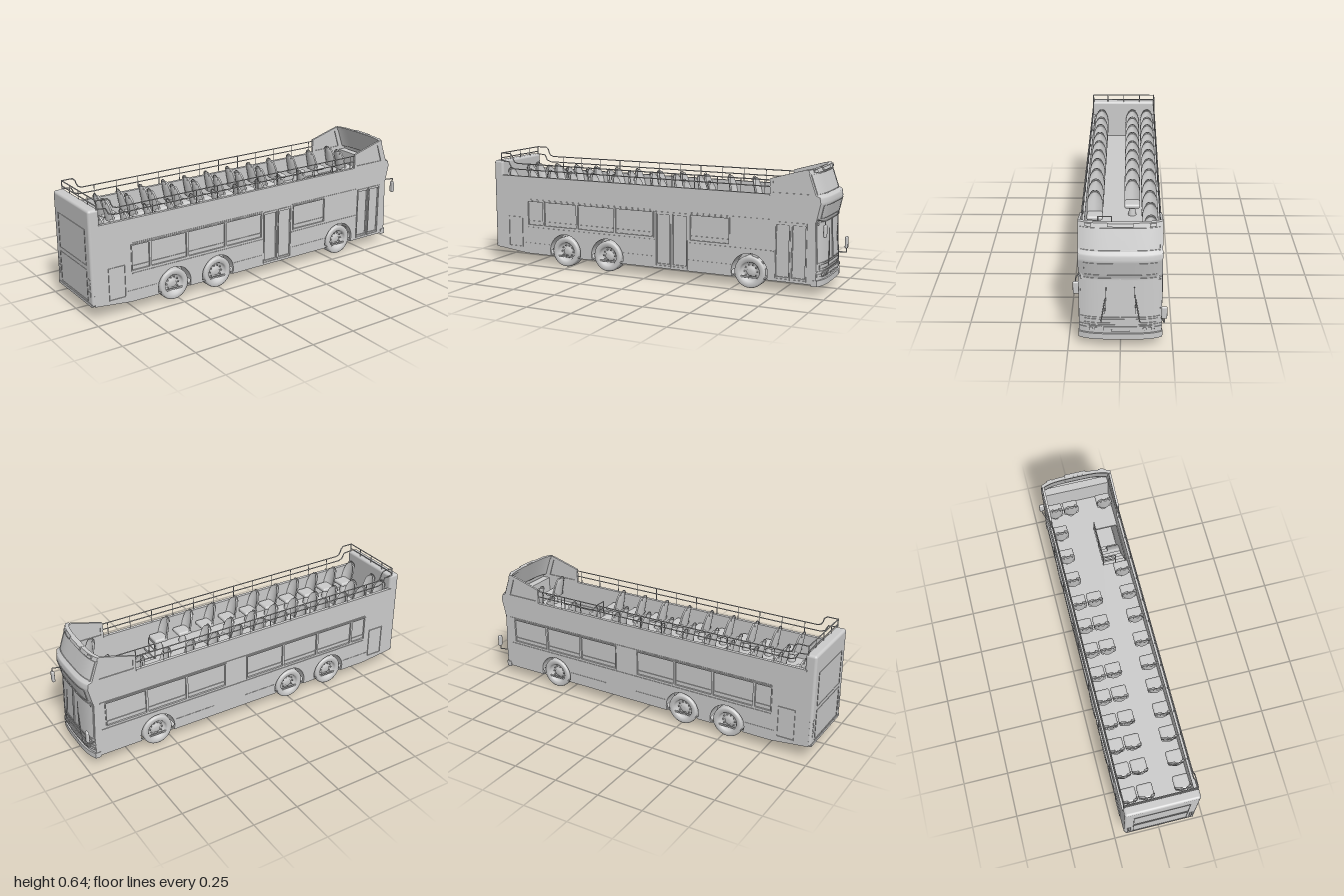
import * as THREE from 'three';
import { RoundedBoxGeometry } from 'three/addons/geometries/RoundedBoxGeometry.js';

const mat = new THREE.MeshStandardMaterial({ color: 0xcccccc, side: THREE.DoubleSide });
const HALF = 0.197, DECK = 0.36, SILL = 0.5;
const WHEELS = [-0.525, -0.255, 0.585], AXLE = 0.085;

// Nose profile: [y, x]
const NOSE = [[0.05, 0.965], [0.16, 0.967], [0.37, 0.957], [0.385, 0.963], [0.47, 0.982],
  [0.5, 0.977], [0.507, 0.957], [0.635, 0.912]];
function noseX(y, z = 0) {
  let i = 0;
  while (i < NOSE.length - 2 && y > NOSE[i + 1][0]) i++;
  const [y0, x0] = NOSE[i], [y1, x1] = NOSE[i + 1];
  return x0 + (x1 - x0) * (y - y0) / (y1 - y0) - 0.026 * Math.pow(Math.abs(z) / HALF, 4);
}

export function createModel() {
  const bus = new THREE.Group();
  bus.name = 'openTopBus';

  const add = (name, geo, x = 0, y = 0, z = 0, parent = bus) => {
    const m = new THREE.Mesh(geo, mat);
    m.name = name;
    m.position.set(x, y, z);
    parent.add(m);
    return m;
  };
  const box = (name, x0, x1, y0, y1, z0, z1, parent) => add(name,
    new THREE.BoxGeometry(x1 - x0, y1 - y0, z1 - z0), (x0 + x1) / 2, (y0 + y1) / 2, (z0 + z1) / 2, parent);
  const rod = (name, a, b, r = 0.003) => {
    const p = new THREE.Vector3(...a), q = new THREE.Vector3(...b), d = q.clone().sub(p);
    const m = add(name, new THREE.CylinderGeometry(r, r, d.length() + r, 8));
    m.position.copy(p).add(q).multiplyScalar(0.5);
    m.quaternion.setFromUnitVectors(new THREE.Vector3(0, 1, 0), d.normalize());
  };
  const rods = (name, pts, r) => pts.slice(1).forEach((p, i) => rod(name, pts[i], p, r));
  const poly = pts => new THREE.Shape(pts.map(p => new THREE.Vector2(...p)));
  const rect = (x0, x1, y0, y1) => poly([[x0, y0], [x1, y0], [x1, y1], [x0, y1]]);
  const extrude = (shape, depth) => new THREE.ExtrudeGeometry(shape, { depth, bevelEnabled: false, curveSegments: 20 });
  // Raised rectangular outline on a side wall (s = +1 or -1)
  const sideFrame = (name, s, x0, x1, y0, y1, t = 0.006) => {
    const f = rect(x0, x1, y0, y1);
    f.holes.push(rect(x0 + t, x1 - t, y0 + t, y1 - t));
    add(name, extrude(f, 0.006), 0, 0, s > 0 ? HALF - 0.002 : -HALF - 0.004);
  };
  // Horizontal plate with rectangular holes [x0, x1, z0, z1]
  const plate = (name, x0, x1, top, thick, holes) => {
    const s = rect(x0, x1, -HALF + 0.005, HALF - 0.005);
    holes.forEach(h => s.holes.push(rect(...h)));
    add(name, extrude(s, thick).rotateX(Math.PI / 2), 0, top);
  };

  // Side walls with wheel arches, window openings and recessed panes
  const windows = {
    1: [[-0.77, -0.67], [-0.66, -0.45], [-0.44, -0.21], [-0.2, 0.03], [0.25, 0.47]],
    '-1': [[-0.77, -0.68], [-0.67, -0.44], [-0.43, -0.21], [-0.2, 0.03], [0.17, 0.4], [0.41, 0.635], [0.645, 0.87]],
  };
  const doors = [[0.045, 0.138], [0.142, 0.235], [0.72, 0.803], [0.807, 0.89]];
  for (const s of [1, -1]) {
    const w = new THREE.Shape();
    w.moveTo(-0.985, 0.078);
    w.lineTo(-0.78, 0.055);
    for (const x of WHEELS) {
      w.lineTo(x - 0.0954, 0.055);
      w.absarc(x, AXLE, 0.1, Math.PI + 0.305, -0.305, true);
    }
    NOSE.forEach(([y, x]) => w.lineTo(x - 0.026, Math.max(y, 0.055)));
    [[0.85, 0.628], [0.69, 0.582], [0.69, SILL], [-0.94, SILL], [-0.985, SILL]].forEach(p => w.lineTo(...p));
    windows[s].forEach(([a, b]) => w.holes.push(rect(a, b, 0.225, 0.36)));
    const quarter = [[0.705, 0.512], [0.893, 0.512], [0.86, 0.612], [0.705, 0.57]];
    w.holes.push(poly(quarter));
    if (s > 0) doors.forEach(([a, b]) => w.holes.push(rect(a + 0.008, b - 0.008, 0.08, 0.35)));
    add('sideWall', extrude(w, 0.012), 0, 0, s > 0 ? HALF - 0.012 : -HALF);
    box('windowPanes', -0.78, 0.9, 0.2, 0.365, s * 0.188 - 0.002, s * 0.188 + 0.002);
    add('quarterPane', extrude(poly(quarter), 0.003), 0, 0, s * 0.191 - 0.0015);
    if (s > 0) [[0.045, 0.235], [0.72, 0.89]].forEach(([a, b]) => box('doorPanes', a, b, 0.07, 0.36, 0.186, 0.19));

    // Window, door and hatch outlines and the trim lines
    windows[s].forEach(([a, b]) => {
      sideFrame('windowFrame', s, a - 0.005, b + 0.005, 0.22, 0.365);
      box('windowSlideBar', a, b, 0.243, 0.248, s * 0.191 - 0.003, s * 0.191 + 0.003);
    });
    if (s > 0) doors.forEach(([a, b]) => sideFrame('doorLeaf', s, a, b, 0.065, 0.365));
    sideFrame('engineHatch', s, -0.905, -0.81, 0.09, 0.265, 0.004);
    const runs = s > 0 ? [[-0.77, 0.04], [0.24, 0.715]] : [[-0.77, 0.9]];
    runs.forEach(([a, b]) => {
      box('windowTopTrim', a, b, 0.368, 0.373, s * HALF - 0.003, s * HALF + 0.003);
      box('windowBottomTrim', a, b, 0.207, 0.211, s * HALF - 0.003, s * HALF + 0.003);
    });
    [[-0.8, -0.63], [-0.15, 0.04], [0.24, 0.48]].forEach(([a, b]) =>
      box('skirtTrim', a, b, 0.115, 0.118, s * HALF - 0.002, s * HALF + 0.002));
    box('wallCap', -0.95, 0.69, SILL - 0.006, SILL + 0.002, s * 0.19 - 0.009, s * 0.19 + 0.009);
  }

  // Underside, sloping tail and upper deck
  const wells = [];
  WHEELS.forEach(x => [[0.115, 0.186], [-0.186, -0.115]].forEach(([a, b]) => wells.push([x - 0.0954, x + 0.0954, a, b])));
  plate('underside', -0.78, 0.935, 0.063, 0.008, wells);
  add('tailUnderside', extrude(poly([[-0.985, 0.078], [-0.78, 0.055], [-0.78, 0.063], [-0.985, 0.086]]), 0.384), 0, 0, -0.192);
  plate('upperDeck', -0.95, 0.93, DECK, 0.012, [[0.46, 0.69, 0.05, 0.18]]);

  // Stairs and stair rail
  for (let i = 0; i < 7; i++) {
    const x = 0.46 + i * 0.033, y = DECK - 0.036 * (i + 1);
    box('stairStep', x, x + 0.033, y - 0.036, y, 0.05, 0.18);
  }
  [0.41, 0.45].forEach(y => rods('stairRail', [[0.69, y, 0.05], [0.46, y, 0.05], [0.46, y, 0.12]]));
  [[0.69, 0.05], [0.575, 0.05], [0.46, 0.05], [0.46, 0.12]].forEach(([x, z]) => rod('stairPost', [x, DECK, z], [x, 0.45, z]));

  // Nose: boxes bent to follow the front profile
  const nose = (name, z0, z1, y0, y1, off = 0.003, t = 0.008) => {
    const g = new THREE.BoxGeometry(t, y1 - y0, z1 - z0, 1, Math.ceil((y1 - y0) / 0.008), 16);
    g.translate(0, (y0 + y1) / 2, (z0 + z1) / 2);
    const p = g.attributes.position;
    for (let i = 0; i < p.count; i++) p.setX(i, p.getX(i) + noseX(p.getY(i), p.getZ(i)) + off - t / 2);
    g.computeVertexNormals();
    add(name, g);
  };
  const noseFrame = (name, w, y0, y1, t = 0.004) => {
    nose(name, -w, w, y0, y0 + t);
    nose(name, -w, w, y1 - t, y1);
    [1, -1].forEach(s => nose(name, s * w - t / 2, s * w + t / 2, y0, y1));
  };
  nose('frontSkin', -HALF, HALF, 0.05, 0.635, 0, 0.012);
  noseFrame('upperWindscreenFrame', 0.185, 0.51, 0.612);
  noseFrame('destinationPanel', 0.17, 0.39, 0.46, 0.003);
  noseFrame('windscreenFrame', 0.19, 0.163, 0.372);
  noseFrame('grilleStrip', 0.174, 0.133, 0.156, 0.003);
  nose('windscreenPillar', -0.004, 0.004, 0.165, 0.37, 0.005);
  nose('noseTrim', -HALF, HALF, 0.12, 0.125);
  nose('bumper', -0.2, 0.2, 0.048, 0.079, 0.009, 0.03);
  nose('grille', -0.08, 0.08, 0.095, 0.115, 0.005);
  nose('grilleLip', -0.045, 0.045, 0.093, 0.1, 0.008);
  nose('topLamp', -0.06, 0.06, 0.621, 0.636, 0.012, 0.02);
  nose('topRim', -0.197, 0.197, 0.616, 0.635, 0.004, 0.02);
  for (const s of [1, -1]) {
    nose('markerLamp', s * 0.15 - 0.015, s * 0.15 + 0.015, 0.62, 0.633, 0.01, 0.015);
    nose('headlampPanel', s * 0.12 - 0.03, s * 0.12 + 0.03, 0.09, 0.118, 0.004);
    nose('indicator', s * 0.177 - 0.016, s * 0.177 + 0.016, 0.097, 0.11, 0.004);
    [0.115, 0.14].forEach(z => add('headlamp', new THREE.CylinderGeometry(0.009, 0.009, 0.008, 16).rotateZ(Math.PI / 2),
      noseX(0.104, z) + 0.004, 0.104, s * z));
    const on = (y, z) => [noseX(y, z) + 0.009, y, s * z];
    rod('wiperArm', on(0.145, 0.092), on(0.265, 0.072), 0.0025);
    rod('wiperBlade', on(0.19, 0.073), on(0.33, 0.066), 0.0015);
  }
  box('dashboard', 0.9, 0.945, DECK, 0.49, -0.185, 0.185);

  // Mirrors: high on the left, low on the right
  [[1, 0.338, 0.388], [-1, 0.205, 0.152]].forEach(([s, y, arm]) => {
    add('mirror', new RoundedBoxGeometry(0.016, 0.064, 0.028, 3, 0.007), 0.985, y, s * 0.206);
    rods('mirrorArm', [[0.935, arm, s * 0.192], [0.985, arm, s * 0.206], [0.985, y, s * 0.206]]);
  });

  // Rear wall with hatch outlines and lamps
  add('rearWall', new RoundedBoxGeometry(0.06, 0.507, 0.394, 4, 0.014), -0.968, 0.3315, 0);
  [[0.1, 0.27], [0.29, 0.48]].forEach(([y0, y1]) => {
    const f = rect(-0.15, 0.15, y0, y1);
    f.holes.push(rect(-0.147, 0.147, y0 + 0.003, y1 - 0.003));
    add('rearHatch', extrude(f, 0.004).rotateY(-Math.PI / 2), -0.996, 0, 0);
  });
  for (const s of [1, -1]) for (let i = 0; i < 3; i++)
    box('tailLamp', -1, -0.99, 0.13 + i * 0.035, 0.155 + i * 0.035, s * 0.172 - 0.01, s * 0.172 + 0.01);
  box('rearBumper', -1, -0.96, 0.078, 0.092, -0.19, 0.19);

  // Guard rails around the open deck
  for (const s of [1, -1]) {
    const z = s * 0.19;
    rods('topRail', [[0.69, 0.573], [-0.84, 0.573], [-0.86, 0.58], [-0.87, 0.597], [-0.875, 0.615],
      [-0.89, 0.628], [-0.95, 0.628], [-0.95, 0.58]].map(p => [...p, z]));
    rods('midRail', [[0.69, 0.54], [-0.86, 0.54], [-0.885, 0.55], [-0.9, 0.58], [-0.95, 0.585]].map(p => [...p, z]));
    for (let x = -0.77; x < 0.69; x += 0.13) rod('railPost', [x, SILL, z], [x, 0.573, z], 0.002);
  }
  [0.628, 0.6].forEach(y => rod('rearRail', [-0.95, y, -0.19], [-0.95, y, 0.19]));
  [-0.1, 0, 0.1].forEach(z => rod('rearRailPost', [-0.95, 0.58, z], [-0.95, 0.628, z], 0.002));

  // Seats: curved shell, cushion, pedestal and grab handle
  const shell = new THREE.BoxGeometry(0.01, 0.115, 0.084, 1, 10, 10);
  const sp = shell.attributes.position;
  for (let i = 0; i < sp.count; i++) {
    const v = sp.getY(i) / 0.115 + 0.5, z = sp.getZ(i) / 0.042;
    sp.setX(i, sp.getX(i) + 0.022 * z * z * (1 - 0.5 * v) - 0.02 * v);
    sp.setZ(i, sp.getZ(i) * Math.sqrt(1 - 0.85 * Math.pow(v, 4)));
  }
  shell.computeVertexNormals();
  const cushion = new RoundedBoxGeometry(0.08, 0.024, 0.084, 3, 0.011);
  const pedestal = new THREE.CylinderGeometry(0.012, 0.022, 0.055, 10);
  const handle = new THREE.TorusGeometry(0.024, 0.0025, 6, 14, Math.PI).rotateY(Math.PI / 2);
  const seat = (x, z) => {
    const g = new THREE.Group();
    g.name = 'seat';
    g.position.set(x, DECK, z);
    add('seatBack', shell, -0.036, 0.113, 0, g);
    add('seatCushion', cushion, 0.005, 0.062, 0, g);
    add('seatPedestal', pedestal, 0.005, 0.0275, 0, g);
    add('seatHandle', handle, -0.053, 0.155, 0, g);
    bus.add(g);
  };
  const rows = [-0.87, -0.735, -0.6, -0.465, -0.325, -0.19, -0.05, 0.095, 0.24, 0.385, 0.53, 0.68, 0.825];
  rows.forEach((x, i) => {
    seat(x, -0.146);
    if (i < 9 || i === 12) seat(x, -0.055);
    if (i < 10 || i === 12) seat(x, 0.138);
  });

  // Wheels in their wells
  const profile = [[0, 0.012], [0.02, 0.014], [0.024, 0.004], [0.046, 0.002], [0.052, 0.022], [0.058, 0.03],
    [0.076, 0.031], [0.083, 0.026], [0.085, 0.018], [0.085, -0.024], [0.08, -0.031], [0, -0.031]];
  const tyre = new THREE.LatheGeometry(profile.map(p => new THREE.Vector2(...p)).reverse(), 32).rotateX(Math.PI / 2);
  const bolt = new THREE.CylinderGeometry(0.004, 0.004, 0.01, 8).rotateX(Math.PI / 2);
  const arch = new THREE.CylinderGeometry(0.1, 0.1, 0.072, 24, 1, true, Math.PI / 2, Math.PI).rotateX(Math.PI / 2);
  const back = new THREE.CircleGeometry(0.1, 24, 0, Math.PI);
  for (const x of WHEELS) for (const s of [1, -1]) {
    const g = new THREE.Group();
    g.name = 'wheel';
    g.position.set(x, AXLE, s * 0.166);
    if (s < 0) g.rotation.y = Math.PI;
    add('tyreAndRim', tyre, 0, 0, 0, g);
    for (let i = 0; i < 10; i++) add('wheelBolt', bolt, 0.035 * Math.cos(i * Math.PI / 5), 0.035 * Math.sin(i * Math.PI / 5), 0.006, g);
    bus.add(g);
    add('wheelWell', arch, x, AXLE, s * 0.151);
    add('wheelWellBack', back, x, AXLE, s * 0.115);
  }
  return bus;
}
